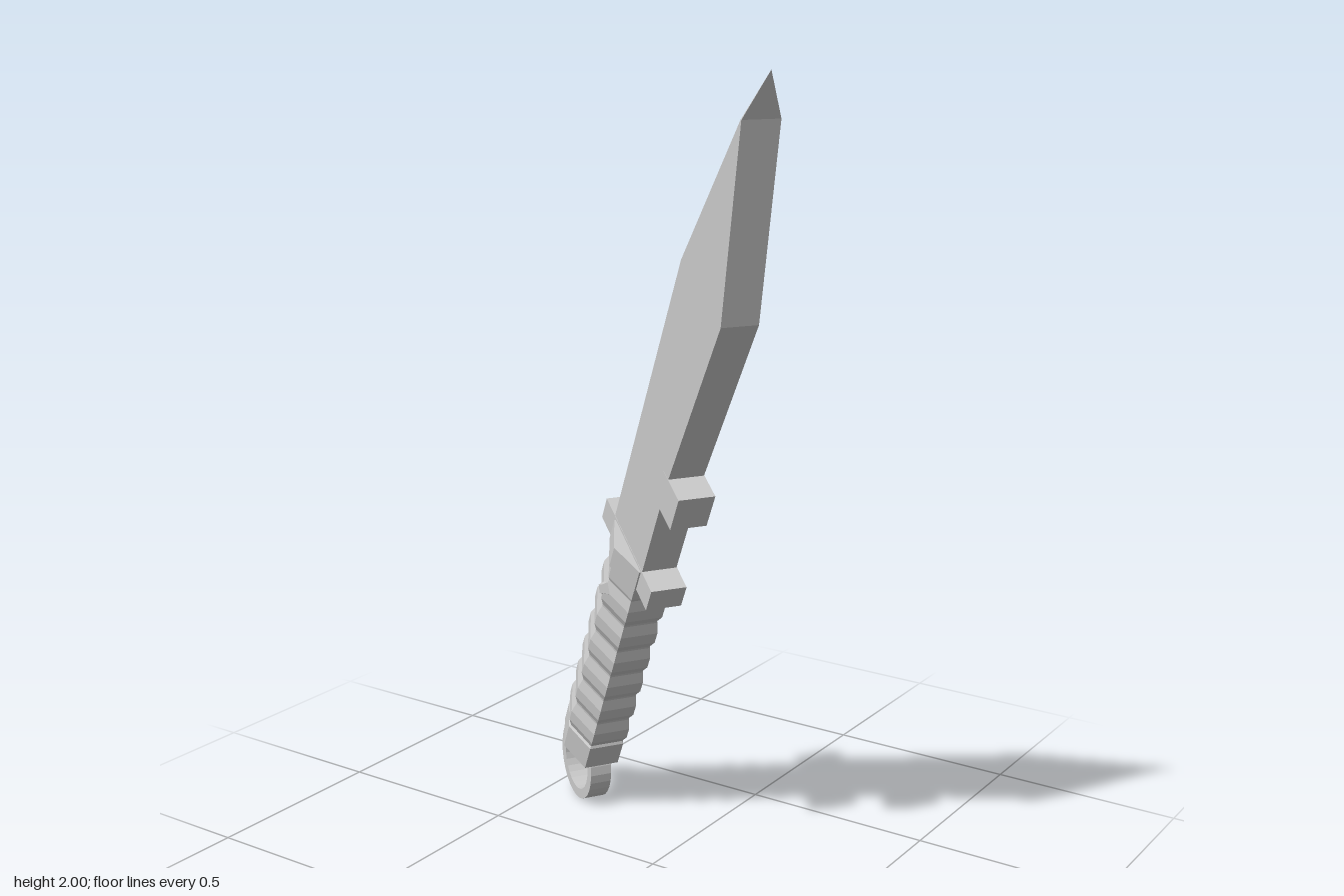
import * as THREE from 'three';

const material = new THREE.MeshStandardMaterial({ color: 0xcccccc, flatShading: true });

function addMesh(parent, geometry, name, x = 0, y = 0, z = 0) {
  const mesh = new THREE.Mesh(geometry, material);
  mesh.name = name;
  mesh.position.set(x, y, z);
  parent.add(mesh);
  return mesh;
}

// Skin a stack of equal-length cross-sections (bottom to top) and cap both ends
function loft(sections) {
  const out = [];
  const tri = (a, b, c) => out.push(...a, ...b, ...c);
  const n = sections[0].length;
  for (let k = 0; k < sections.length - 1; k++) {
    const a = sections[k], b = sections[k + 1];
    for (let i = 0; i < n; i++) {
      const j = (i + 1) % n;
      tri(a[i], a[j], b[j]);
      tri(a[i], b[j], b[i]);
    }
  }
  const first = sections[0], last = sections[sections.length - 1];
  for (let i = 1; i < n - 1; i++) {
    tri(first[0], first[i + 1], first[i]);
    tri(last[0], last[i], last[i + 1]);
  }
  const geometry = new THREE.BufferGeometry();
  geometry.setAttribute('position', new THREE.Float32BufferAttribute(out, 3));
  geometry.computeVertexNormals();
  return geometry;
}

// Long hexagon used by the grip and the guard's middle
const hexSection = (y, k = 1) =>
  [[0.085, 0.047], [0.085, -0.047], [0, -0.078], [-0.085, -0.047], [-0.085, 0.047], [0, 0.078]]
    .map(([x, z]) => [x * k, y, z * k]);

// House-shaped blade section: flat edge, flat sides, ridged spine
const bladeSection = ([y, ridge, spine, edge, half]) =>
  [[edge, y, half], [edge, y, -half], [spine, y, -half], [ridge, y, 0], [spine, y, half]];

export function createModel() {
  const model = new THREE.Group();
  model.name = 'knife';
  const tilt = new THREE.Group();
  tilt.name = 'tiltedKnife';
  tilt.rotation.set(0, -0.566, 0);
  model.add(tilt);
  const lean = new THREE.Group();
  lean.name = 'leaningKnife';
  lean.rotation.z = -0.515;
  tilt.add(lean);
  const knife = new THREE.Group();
  knife.name = 'knifeParts';
  knife.position.x = -0.45;
  lean.add(knife);

  // Blade
  const h = 0.045;
  const blade = loft([
    [0.69, -0.13, -0.1, 0.094, h],
    [1.0, -0.13, -0.1, 0.094, h],
    [1.5, -0.13, -0.1, 0.135, h],
    [1.924, -0.042, -0.008, -0.005, h],
    [2.031, -0.019, -0.019, -0.019, 0],
  ].map(bladeSection));
  addMesh(knife, blade, 'blade');

  // Tooth on the cutting side
  addMesh(knife, new THREE.BoxGeometry(0.1, 0.095, 0.092), 'bladeTooth', 0.115, 0.972);

  // Guard: narrow crossbar with a wider hexagonal middle
  addMesh(knife, new THREE.BoxGeometry(0.32, 0.065, 0.092), 'guardBar', 0, 0.678);
  addMesh(knife, loft([hexSection(0.64, 1.06), hexSection(0.705, 1.06)]), 'guardCollar');

  // Grip with a stack of ribs
  const sections = [hexSection(-0.06, 1), hexSection(0.02, 1)];
  const ribs = 6, start = 0.02, pitch = 0.095;
  for (let i = 0; i < ribs; i++) {
    const y = start + i * pitch;
    sections.push(
      hexSection(y + 0.006, 0.94),
      hexSection(y + 0.03, 1.05),
      hexSection(y + 0.065, 1.05),
      hexSection(y + pitch, 0.94),
    );
  }
  sections.push(hexSection(0.6, 0.98), hexSection(0.65, 0.98));
  addMesh(knife, loft(sections), 'grip');

  // Small diamond stud on each broad side of the grip
  for (const side of [1, -1]) {
    const stud = addMesh(knife, new THREE.CylinderGeometry(0.015, 0.024, 0.02, 4), 'gripStud', 0, 0.56, side * 0.08);
    stud.rotation.x = side * Math.PI / 2;
  }

  // Pommel ring
  const ringShape = new THREE.Shape().absarc(0, 0, 0.108, 0, Math.PI * 2, false);
  ringShape.holes.push(new THREE.Path().absarc(0, 0, 0.082, 0, Math.PI * 2, true));
  const ring = new THREE.ExtrudeGeometry(ringShape, { depth: 0.058, bevelEnabled: false, curveSegments: 14 });
  ring.translate(0, 0, -0.029);
  addMesh(knife, ring, 'pommelRing', 0, -0.133);

  return model;
}
